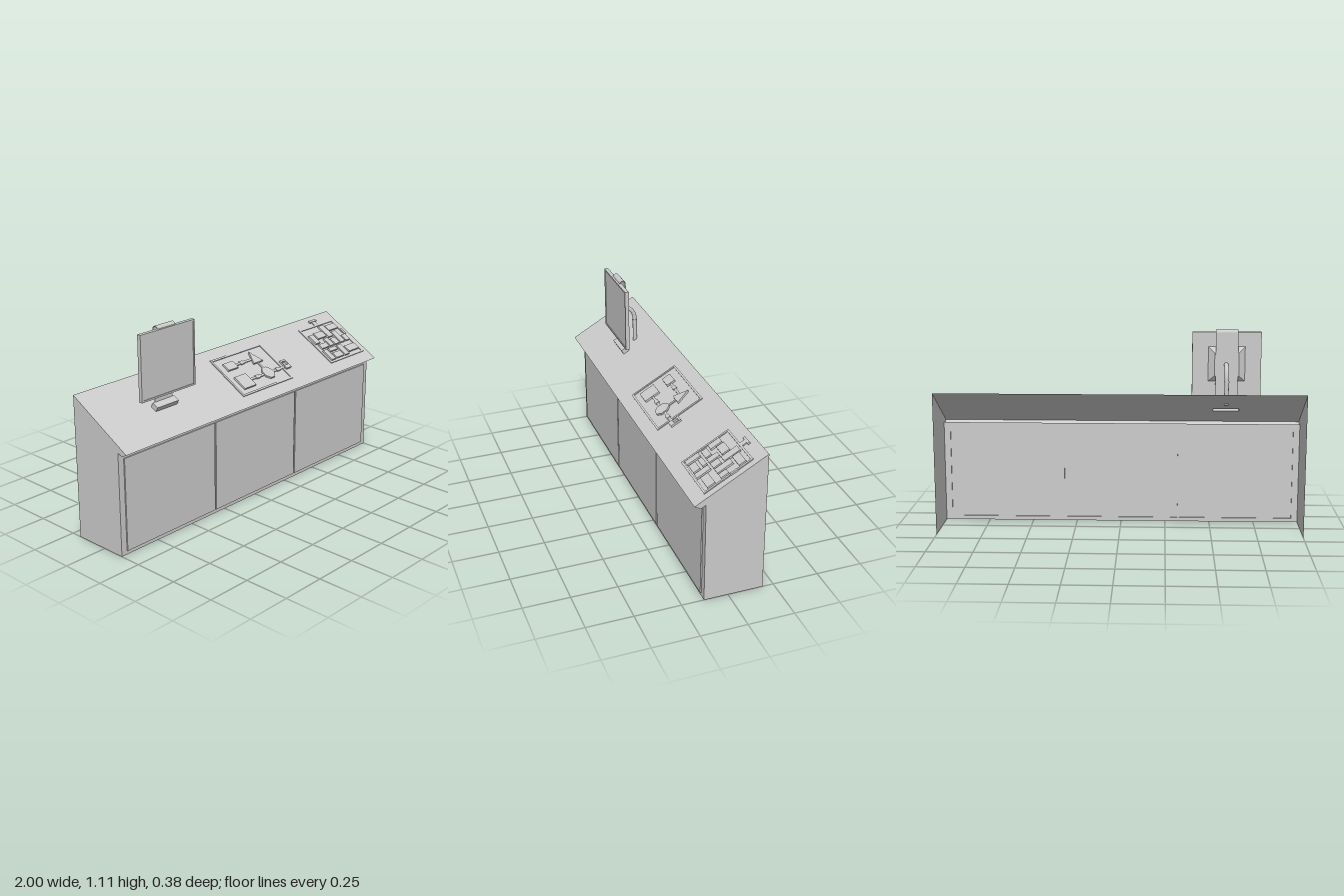
import * as THREE from 'three';

const MAT = new THREE.MeshStandardMaterial({ color: 0xcccccc, side: THREE.DoubleSide });
const TILT = Math.atan2(0.215, 0.38);
const COS = Math.cos(TILT);

function add(parent, name, geometry, x = 0, y = 0, z = 0) {
  const mesh = new THREE.Mesh(geometry, MAT);
  mesh.name = name;
  mesh.position.set(x, y, z);
  parent.add(mesh);
  return mesh;
}

const rect = (x0, y0, x1, y1) => [[x0, y0], [x1, y0], [x1, y1], [x0, y1]];
const ring = (x, y, r, n) => Array.from({ length: n }, (_, i) => {
  const a = ((i + 0.5) / n) * Math.PI * 2;
  return [x + r * Math.cos(a), y + r * Math.sin(a)];
});
const toShape = (pts, holes = []) => {
  const shape = new THREE.Shape(pts.map(p => new THREE.Vector2(...p)));
  shape.holes = holes.map(h => new THREE.Path(h.map(p => new THREE.Vector2(...p))));
  return shape;
};
// Plan coordinates (x, z) stretched onto the sloping deck
const onDeck = pts => pts.map(([x, z]) => [x, -z / COS]);
const deckShape = (pts, holes = []) => toShape(onDeck(pts), holes.map(onDeck));

function emboss(parent, name, pts, height, holes = []) {
  const g = new THREE.ExtrudeGeometry(deckShape(pts, holes), { depth: height, bevelEnabled: false });
  return add(parent, name, g.rotateX(-Math.PI / 2));
}

// Box with its back face left open
function openBox(w, h, d) {
  const g = new THREE.BoxGeometry(w, h, d);
  g.setIndex(Array.from(g.index.array).slice(0, 30));
  return g;
}

// Shape drawn in (z, y) extruded across x, centred on x = 0
function acrossX(shape, width) {
  const g = new THREE.ExtrudeGeometry(shape, { depth: width, bevelEnabled: false, curveSegments: 10 });
  return g.rotateY(-Math.PI / 2).translate(width / 2, 0, 0);
}

function buildCabinet() {
  const cabinet = new THREE.Group();
  cabinet.name = 'cabinet';
  const profile = [[0.13, 0], [0.13, 0.566], [0.157, 0.552], [0.19, 0.57], [-0.19, 0.785], [-0.19, 0]];
  for (const s of [-1, 1]) {
    const side = new THREE.ShapeGeometry(toShape(profile)).rotateY(-Math.PI / 2);
    add(cabinet, s < 0 ? 'rightEndPanel' : 'leftEndPanel', side, s);
  }
  // Front sheet with three hollow raised panels
  const panels = [[-0.965, -0.33], [-0.32, 0.32], [0.33, 0.965]];
  const holes = panels.map(([a, b]) => rect(a, 0.022, b, 0.527));
  add(cabinet, 'frontSheet', new THREE.ShapeGeometry(toShape(rect(-1, 0, 1, 0.566), holes)), 0, 0, 0.13);
  for (const [a, b] of panels)
    add(cabinet, 'frontPanel', openBox(b - a, 0.505, 0.007), (a + b) / 2, 0.2745, 0.1335);
  // Folded lip under the front edge of the deck
  const lip = new THREE.PlaneGeometry(2, 1, 1, 2);
  const rows = [[0.19, 0.57], [0.157, 0.552], [0.13, 0.566]];
  for (let i = 0; i < 6; i++) {
    const [z, y] = rows[Math.floor(i / 2)];
    lip.attributes.position.setXYZ(i, i % 2 ? 1 : -1, y, z);
  }
  const folded = lip.toNonIndexed();
  folded.computeVertexNormals();
  add(cabinet, 'deckLip', folded);
  return cabinet;
}

function buildDeck() {
  const deck = new THREE.Group();
  deck.name = 'deck';
  deck.position.y = 0.6775;
  deck.rotation.x = TILT;

  const slot = rect(-0.655, 0.002, -0.505, 0.036);
  const armHole = ring(-0.577, -0.058, 0.012, 16);
  const top = new THREE.ShapeGeometry(deckShape(rect(-1, -0.19, 1, 0.19), [slot, armHole]));
  add(deck, 'deckTop', top.rotateX(-Math.PI / 2));

  // Hollow monitor base standing on the slot
  emboss(deck, 'monitorBaseWalls', slot, 0.026, [rect(-0.651, 0.005, -0.509, 0.033)]);
  add(deck, 'monitorBaseTop', new THREE.BoxGeometry(0.15, 0.003, 0.034 / COS), -0.58, 0.0265, 0.019 / COS);

  // Flow diagram
  const frame = (name, x0, z0, x1, z1) => emboss(deck, name, rect(x0, z0, x1, z1), 0.005,
    [rect(x0 + 0.011, z0 + 0.01, x1 - 0.011, z1 - 0.01)]);
  frame('diagramFrame', -0.095, -0.126, 0.315, 0.126);
  emboss(deck, 'diagramSquare', rect(-0.05, 0.012, 0.04, 0.092), 0.011);
  emboss(deck, 'diagramBar', rect(-0.043, -0.08, 0.035, -0.035), 0.011);
  emboss(deck, 'diagramTriangle', [[0.187, -0.098], [0.225, -0.025], [0.15, -0.025]], 0.011);
  emboss(deck, 'diagramOctagon', ring(0.187, 0.05, 0.038, 8), 0.011);
  emboss(deck, 'diagramOuterSquare', rect(0.325, 0.012, 0.367, 0.066), 0.011,
    [rect(0.333, 0.022, 0.359, 0.045)]);
  const links = [[0.035, -0.062, 0.17, -0.05], [0.04, 0.044, 0.155, 0.056],
    [0.181, -0.025, 0.193, 0.016], [0.22, 0.044, 0.325, 0.056]];
  for (const l of links) emboss(deck, 'diagramLink', rect(...l), 0.006);
  for (const [x, z] of [[0.085, -0.056], [0.1, 0.05], [0.27, 0.05]])
    emboss(deck, 'diagramNode', rect(x - 0.014, z - 0.01, x + 0.014, z + 0.01), 0.008);

  // Block maze
  frame('mazeFrame', 0.66, -0.126, 0.965, 0.126);
  const blocks = [
    [0.68, -0.07, 0.72, -0.01], [0.73, -0.075, 0.805, -0.035], [0.815, -0.108, 0.858, -0.025],
    [0.865, -0.098, 0.95, -0.062], [0.865, -0.05, 0.905, 0.03], [0.915, -0.01, 0.95, 0.03],
    [0.765, -0.025, 0.8, 0.03], [0.81, -0.012, 0.855, 0.03], [0.69, 0.0, 0.755, 0.03],
    [0.68, 0.042, 0.715, 0.112], [0.727, 0.075, 0.795, 0.11], [0.727, 0.04, 0.795, 0.062],
    [0.807, 0.04, 0.845, 0.112], [0.857, 0.06, 0.95, 0.1]];
  for (const b of blocks) emboss(deck, 'mazeBlock', rect(...b), 0.011);
  emboss(deck, 'mazeSideTab', rect(0.955, -0.05, 0.968, -0.012), 0.009);
  emboss(deck, 'mazeTopTab', rect(0.79, -0.16, 0.85, -0.148), 0.009);
  emboss(deck, 'mazeTopTabStem', rect(0.805, -0.148, 0.835, -0.126), 0.006);
  return deck;
}

function buildMonitor() {
  const monitor = new THREE.Group();
  monitor.name = 'monitor';
  monitor.position.x = -0.58;

  // Bezel around a slightly sunken screen
  const bezel = toShape(rect(-0.188, 0.74, 0.188, 1.094), [rect(-0.179, 0.749, 0.179, 1.085)]);
  add(monitor, 'bezel', new THREE.ExtrudeGeometry(bezel, { depth: 0.022, bevelEnabled: false }), 0, 0, 0.038);
  add(monitor, 'screen', new THREE.BoxGeometry(0.358, 0.336, 0.018), 0, 0.917, 0.047);

  // Tapered rear housing
  const housing = new THREE.BoxGeometry(0.2, 0.19, 0.024);
  const p = housing.attributes.position;
  for (let i = 0; i < p.count; i++)
    if (p.getZ(i) < 0) p.setXY(i, p.getX(i) * 0.66, p.getY(i) * 0.66);
  const flat = housing.toNonIndexed();
  flat.computeVertexNormals();
  add(monitor, 'rearHousing', flat, 0, 0.919, 0.026);

  // Flat band looping over the top and down into the base
  const band = new THREE.Shape();
  band.moveTo(0.049, 1.09);
  band.absarc(0.031, 1.09, 0.018, 0, Math.PI, false);
  band.lineTo(0.013, 0.685);
  band.lineTo(0.017, 0.685);
  band.lineTo(0.017, 1.09);
  band.absarc(0.031, 1.09, 0.014, Math.PI, 0, true);
  add(monitor, 'band', acrossX(band, 0.122));

  // Bent support arm
  const arm = new THREE.CurvePath();
  const v = (y, z) => new THREE.Vector3(0.003, y, z);
  arm.add(new THREE.LineCurve3(v(0.708, -0.058), v(0.835, -0.058)));
  arm.add(new THREE.CubicBezierCurve3(v(0.835, -0.058), v(0.885, -0.058), v(0.917, -0.03), v(0.918, 0.016)));
  add(monitor, 'arm', new THREE.TubeGeometry(arm, 32, 0.012, 16));
  add(monitor, 'armCollar', new THREE.CylinderGeometry(0.0145, 0.0145, 0.006, 16), 0.003, 0.833, -0.058);
  return monitor;
}

export function createModel() {
  const model = new THREE.Group();
  model.name = 'controlDesk';
  model.add(buildCabinet(), buildDeck(), buildMonitor());
  return model;
}
